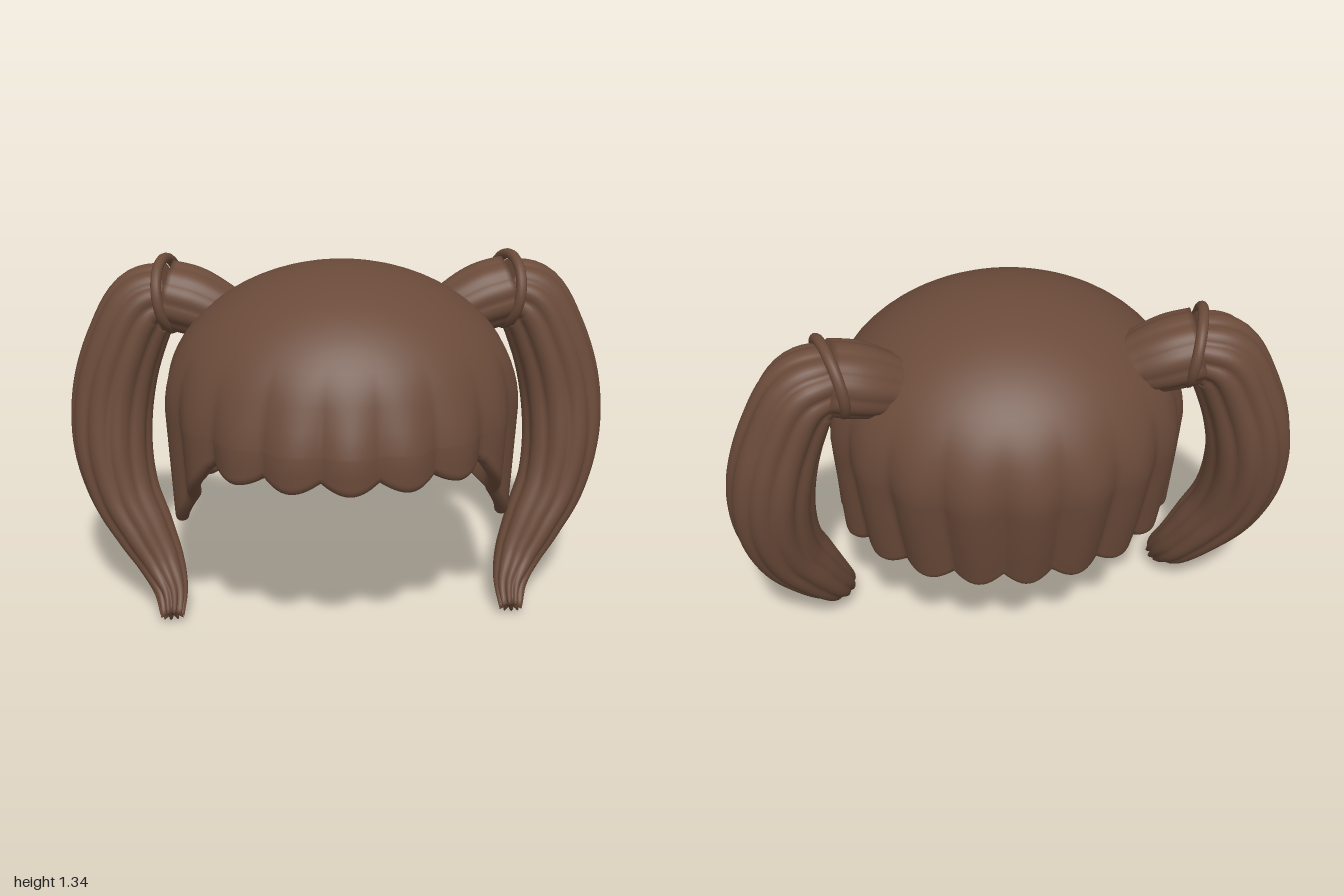
import * as THREE from 'three';

const hair = new THREE.MeshStandardMaterial({ color: 0x6b4b3a });
hair.name = 'brown hair';

const { lerp, clamp, smoothstep } = THREE.MathUtils;

// Skin a list of rings (each a closed loop of points) into one smooth surface
function loft(rings) {
  const n = rings[0].length;
  const index = [];
  for (let i = 0; i < rings.length - 1; i++) {
    for (let j = 0; j < n; j++) {
      const k = (j + 1) % n;
      const a = i * n + j, b = a + n, c = i * n + k, d = c + n;
      index.push(a, b, c, b, d, c);
    }
  }
  const geometry = new THREE.BufferGeometry().setFromPoints(rings.flat());
  geometry.setIndex(index);
  geometry.computeVertexNormals();
  return geometry;
}

function addMesh(parent, name, geometry) {
  const mesh = new THREE.Mesh(geometry, hair);
  mesh.name = name;
  parent.add(mesh);
  return mesh;
}

// ---- Cap: dome with a short fringe in front and long scalloped sides and back
const MID = 0.85, RISE = 0.49, THICK = 0.05, LOCKS = 18;
const lobe = (phi) => Math.abs(Math.cos((phi * LOCKS) / 2));

function hemHeight(phi) {
  const deg = Math.abs(phi) * 180 / Math.PI;
  const slope = clamp((deg - 54) / 26, 0, 1);
  const base = deg < 80 ? lerp(0.71, 0.42, slope) : lerp(0.42, 0.455, clamp((deg - 80) / 40, 0, 1));
  const onSlope = slope > 0 && slope < 1 ? 0.4 : 1;
  return base + 0.036 * onSlope * (1 - lobe(phi));
}

// Point on the cap; inset moves it towards the inside
function capPoint(phi, y, ring, inset) {
  const front = Math.max(0, Math.cos(phi)), back = Math.max(0, -Math.cos(phi));
  const drop = clamp((MID - y) / 0.4, 0, 1.1);
  const groove = 0.03 * (1 - lobe(phi)) * smoothstep(1.15 - y, 0, 0.4);
  const flare = 0.035 * front * front * smoothstep(1.0 - y, 0, 0.22);
  const taper = 1 - 0.13 * back * Math.pow(drop, 1.3) - 0.03 * drop;
  const rx = 0.637, rz = front > 0 ? 0.567 : 0.6;
  const k = 1 / Math.hypot(Math.sin(phi) / rx, Math.cos(phi) / rz);
  const r = Math.max(0, (k * taper - groove + flare) * ring - inset);
  return new THREE.Vector3(r * Math.sin(phi), y, r * Math.cos(phi));
}

function capGeometry() {
  const SEG = 252, DOME = 20, SKIRT = 12, ROLL = 6;
  const rings = [];
  const addRing = (fn) => rings.push(Array.from({ length: SEG }, (_, j) => {
    let phi = (j / SEG) * Math.PI * 2;
    if (phi > Math.PI) phi -= Math.PI * 2;
    return fn(phi);
  }));
  const half = THICK / 2;
  const dome = (i, inset) => {
    const a = (i / DOME) * Math.PI / 2;
    const scale = 1 - inset / 0.6;
    addRing((phi) => {
      const p = capPoint(phi, MID + RISE * Math.cos(a), Math.sin(a) * scale, 0);
      p.y -= inset * Math.cos(a);
      return p;
    });
  };
  const skirt = (i, inset) => addRing((phi) =>
    capPoint(phi, lerp(MID, hemHeight(phi) + half, i / SKIRT), 1, inset));

  for (let i = 0; i <= DOME; i++) dome(i, 0);
  for (let i = 1; i <= SKIRT; i++) skirt(i, 0);
  // rounded hem
  for (let i = 1; i < ROLL; i++) {
    const a = (i / ROLL) * Math.PI;
    addRing((phi) => {
      const p = capPoint(phi, hemHeight(phi) + half, 1, half * (1 - Math.cos(a)));
      p.y -= half * Math.sin(a);
      return p;
    });
  }
  // lining
  for (let i = SKIRT; i >= 1; i--) skirt(i, THICK);
  for (let i = DOME; i >= 0; i--) dome(i, THICK);
  return loft(rings);
}

// ---- Grooved lock swept along a path of [x, y, z, radius]
function lockGeometry(path, side, { locks, depth, steps, jag = 0 }) {
  const SEG = locks * 8;
  const curve = new THREE.CatmullRomCurve3(path.map(([x, y, z]) => new THREE.Vector3(x * side, y, z)));
  const radius = new THREE.CatmullRomCurve3(path.map((p, i) => new THREE.Vector3(i, p[3], 0)), false, 'catmullrom');
  const rings = [];
  const addRing = (t, scale, push) => {
    const c = curve.getPoint(t), T = curve.getTangent(t);
    const B = new THREE.Vector3(0, 0, 1).addScaledVector(T, -T.z).normalize();
    const N = new THREE.Vector3().crossVectors(B, T);
    const r0 = radius.getPoint(t).y * scale;
    rings.push(Array.from({ length: SEG }, (_, j) => {
      const a = (j / SEG) * Math.PI * 2;
      const l = Math.abs(Math.cos(a * locks / 2));
      const r = r0 * (1 - (depth + 0.12 * smoothstep(t, 0.8, 1) * (jag ? 1 : 0)) * (1 - l));
      return c.clone().addScaledVector(N, r * Math.cos(a))
        .addScaledVector(B, -r * 1.08 * Math.sin(a))
        .addScaledVector(T, push * (l - 0.5));
    }));
  };
  addRing(0, 0, 0);
  for (let i = 0; i <= steps; i++) addRing(i / steps, 1, jag * smoothstep(i / steps, 0.92, 1));
  addRing(1, 0.5, 0);
  addRing(1, 0, 0);
  return loft(rings);
}

const TUFT = [
  [0.36, 1.09, -0.175, 0.05], [0.39, 1.105, -0.18, 0.095], [0.45, 1.13, -0.185, 0.115],
  [0.54, 1.165, -0.2, 0.128], [0.63, 1.19, -0.21, 0.125],
];
const TAIL = [
  [0.6, 1.19, -0.205, 0.115], [0.7, 1.155, -0.215, 0.135], [0.785, 1.0, -0.215, 0.145],
  [0.84, 0.81, -0.21, 0.152], [0.85, 0.62, -0.18, 0.148], [0.815, 0.45, -0.14, 0.133],
  [0.745, 0.31, -0.09, 0.115], [0.68, 0.19, -0.035, 0.09], [0.645, 0.11, 0.03, 0.067],
  [0.637, 0.035, 0.1, 0.043],
];

function pigtail(side) {
  const group = new THREE.Group();
  group.name = side > 0 ? 'leftPigtail' : 'rightPigtail';
  addMesh(group, 'tuft', lockGeometry(TUFT, side, { locks: 10, depth: 0.05, steps: 20 }));
  addMesh(group, 'tail', lockGeometry(TAIL, side, { locks: 10, depth: 0.1, steps: 60, jag: 0.02 }));
  // hair tie
  const tie = addMesh(group, 'hairTie', new THREE.TorusGeometry(0.127, 0.019, 12, 48));
  tie.position.set(0.615 * side, 1.19, -0.208);
  tie.lookAt(tie.position.clone().add(new THREE.Vector3(0.96 * side, -0.15, -0.25)));
  tie.scale.set(1.08, 1, 1);
  return group;
}

export function createModel() {
  const model = new THREE.Group();
  model.name = 'pigtailHair';
  addMesh(model, 'cap', capGeometry());
  model.add(pigtail(1), pigtail(-1));
  return model;
}
